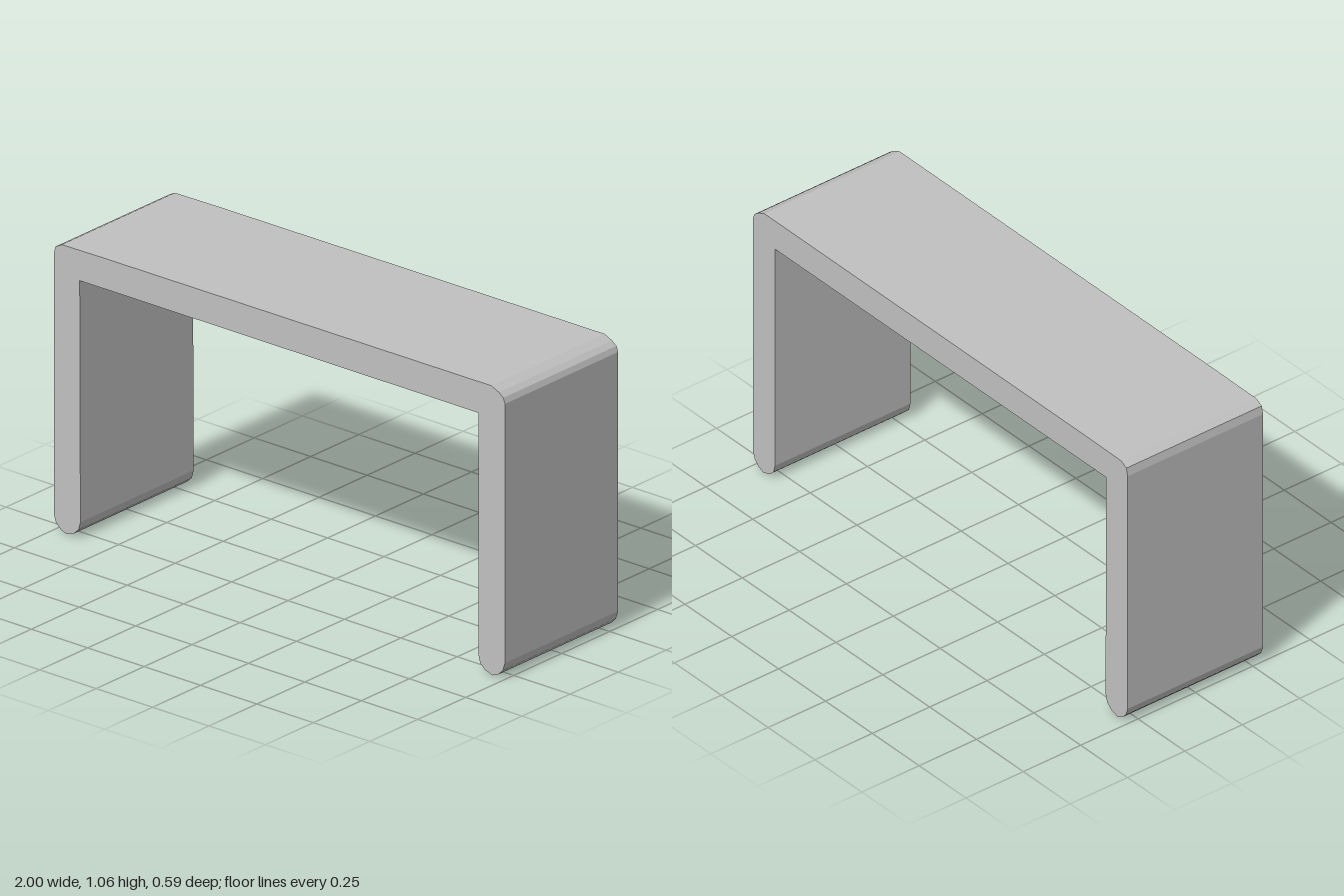
import * as THREE from 'three';

const DEPTH = 0.59;

// Faceted, rounded foot running from the outer to the inner face of a leg
const FOOT = [[1, 0.06], [0.99, 0.03], [0.97, 0.01], [0.945, 0], [0.912, 0.01], [0.89, 0.03], [0.882, 0.06]];

export function createModel() {
  const group = new THREE.Group();
  group.name = 'bench';

  const grey = new THREE.MeshStandardMaterial({ color: 0xc0c0c0 });
  grey.name = 'light grey';

  // Closed outline: left top corner, left leg, underside, right leg, right top corner
  const leftCorner = [[0.94, 1.06], [0.973, 1.045], [0.992, 1.03], [1, 1.01]];
  const rightCorner = [[-1, 1.01], [-0.993, 1.04], [-0.965, 1.055], [-0.78, 1.057]];
  const rightFoot = FOOT.map(([x, y]) => [-x, y]).reverse();
  const outline = [
    ...leftCorner, ...FOOT,
    [0.882, 0.945], [-0.885, 0.945],
    ...rightFoot, ...rightCorner,
  ].map(([x, y]) => new THREE.Vector2(x, y));

  // One continuous slab folded into a seat and two legs
  const geometry = new THREE.ExtrudeGeometry(new THREE.Shape(outline), {
    depth: DEPTH, bevelEnabled: false,
  });
  geometry.translate(0, 0, -DEPTH / 2);

  const frame = new THREE.Mesh(geometry, grey);
  frame.name = 'seatAndLegs';
  group.add(frame);
  return group;
}
